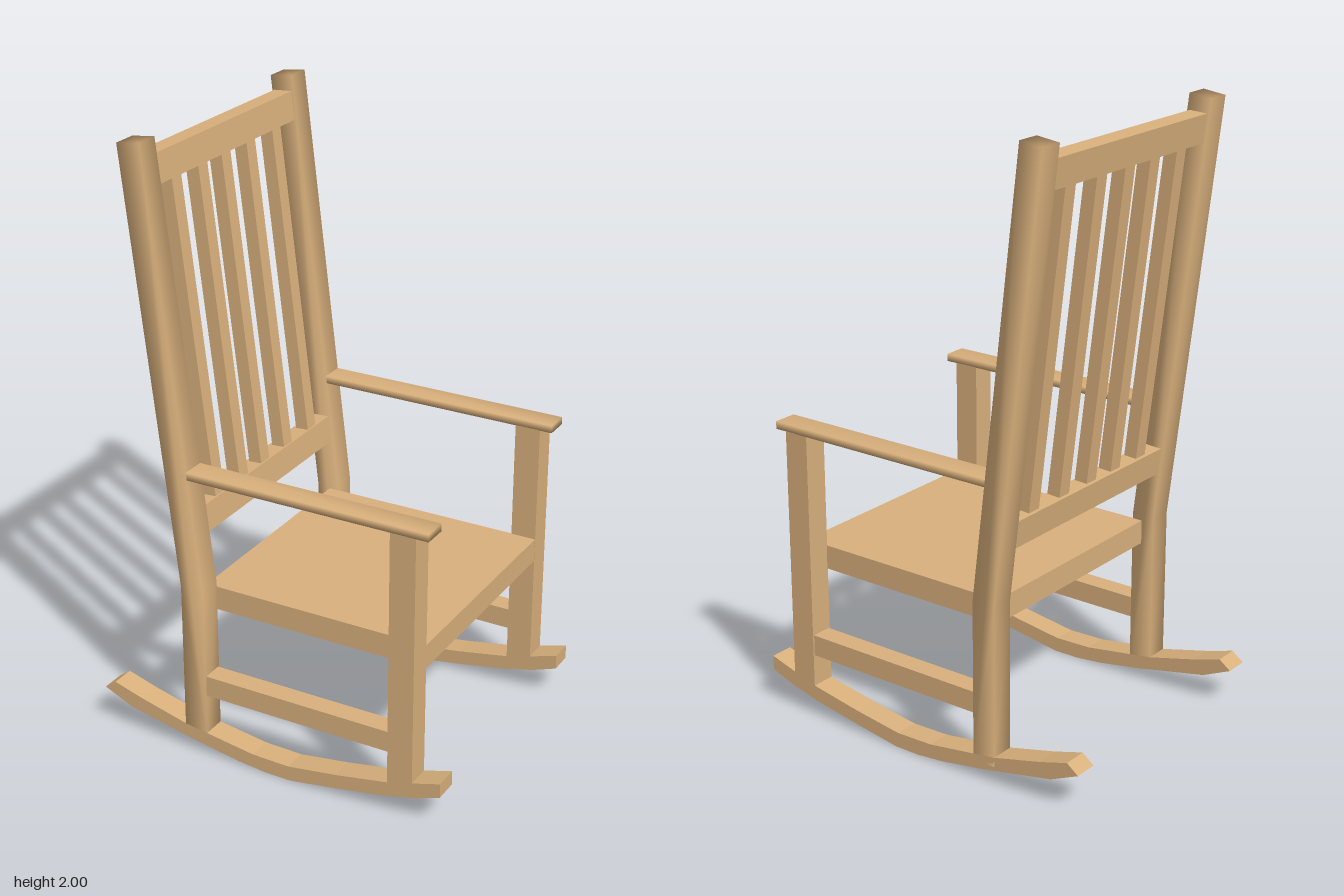
import * as THREE from 'three';
import { mergeVertices } from 'three/addons/utils/BufferGeometryUtils.js';

const wood = new THREE.MeshStandardMaterial({ color: 0xd9b07c });
const SIDE_Z = 0.427, WIDTH = 0.08; // centre and width of each side frame

// Side profile in x/y, extruded across z and centred on z = 0
function profile(points, width) {
  const shape = new THREE.Shape(points.map(([x, y]) => new THREE.Vector2(x, y)));
  const geo = new THREE.ExtrudeGeometry(shape, { depth: width, bevelEnabled: false });
  return geo.translate(0, 0, -width / 2);
}

// Axis-aligned bar given by its x and y ranges
const bar = (x0, x1, y0, y1, width) => profile([[x0, y0], [x1, y0], [x1, y1], [x0, y1]], width);

// Share normals across the corners for softly shaded parts
function soften(geo) {
  geo.deleteAttribute('normal');
  geo.deleteAttribute('uv');
  const merged = mergeVertices(geo, 1e-4);
  merged.computeVertexNormals();
  return merged;
}

// Centre line of the leaning back at height y
const LEAN = 0.17 / 1.41;
const backX = (y) => -0.26 - (y - 0.59) * LEAN;

// Bar that follows the lean between two heights
function leaningBar(y0, y1, thick, width, shift = 0) {
  const h = thick / 2, a = backX(y0) + shift, b = backX(y1) + shift, d = h * LEAN;
  return profile([[a - h, y0], [a + h, y0 + d], [b + h, y1], [b - h, y1 - d]], width);
}

export function createModel() {
  const chair = new THREE.Group();
  chair.name = 'rockingChair';
  const add = (parent, name, geo, z = 0) => {
    const mesh = new THREE.Mesh(geo, wood);
    mesh.name = name;
    mesh.position.z = z;
    parent.add(mesh);
  };

  // Parts of one side frame, used on both sides
  const sideParts = {
    rocker: profile([
      [-0.61, 0.135], [-0.51, 0.09], [-0.25, 0.037], [-0.1, 0.012], [0, 0.002], [0.09, 0.002],
      [0.25, 0.028], [0.42, 0.058], [0.53, 0.086], [0.61, 0.115], [0.61, 0.163],
      [0.51, 0.133], [0.43, 0.11], [0.25, 0.077], [0.08, 0.052], [-0.05, 0.055],
      [-0.22, 0.08], [-0.3, 0.092], [-0.47, 0.135], [-0.57, 0.165],
    ], WIDTH),
    backPost: soften(profile([
      [-0.3, 0.06], [-0.22, 0.06], [-0.22, 0.59], [-0.39, 2], [-0.468, 1.99], [-0.3, 0.59],
    ], WIDTH)),
    frontLeg: bar(0.43, 0.515, 0.08, 0.966, WIDTH),
    armrest: soften(bar(-0.28, 0.555, 0.965, 0.99, WIDTH)),
    sideStretcher: bar(-0.23, 0.44, 0.217, 0.287, 0.07),
  };
  for (const [side, sign] of [['left', -1], ['right', 1]]) {
    const frame = new THREE.Group();
    frame.name = side + 'Frame';
    frame.position.z = sign * SIDE_Z;
    for (const [name, geo] of Object.entries(sideParts)) add(frame, name, geo);
    chair.add(frame);
  }

  // Solid seat between the frames
  const inner = 2 * (SIDE_Z - WIDTH / 2) + 0.004;
  add(chair, 'seat', bar(-0.255, 0.514, 0.495, 0.575, inner));

  // Leaning back: two rails and five slats
  add(chair, 'topRail', leaningBar(1.852, 1.948, 0.062, inner));
  add(chair, 'lowerRail', leaningBar(0.752, 0.845, 0.062, inner));
  for (const z of [-0.283, -0.129, 0.014, 0.144, 0.286]) {
    add(chair, 'backSlat', leaningBar(0.83, 1.87, 0.045, 0.05, 0.003), z);
  }
  return chair;
}
